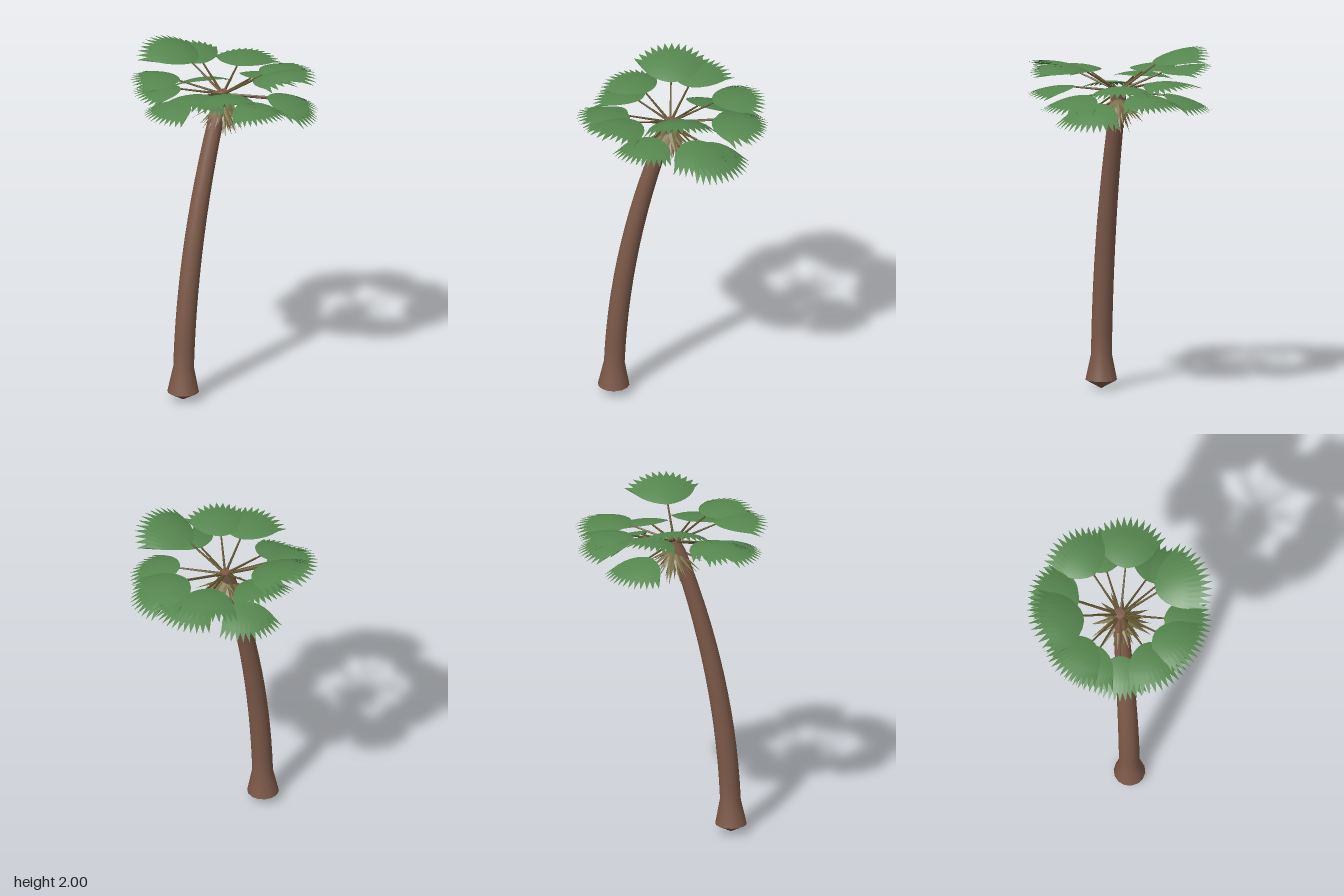
import * as THREE from 'three';
import { toCreasedNormals } from 'three/addons/utils/BufferGeometryUtils.js';

const mat = (name, color, extra = {}) => {
  const m = new THREE.MeshStandardMaterial({ color, ...extra });
  m.name = name;
  return m;
};
const bark = mat('bark brown', 0x7d5a49);
const green = mat('leaf green', 0x56874f, { side: THREE.DoubleSide });
const stalkOlive = mat('stalk olive', 0x61542f);
const dry = mat('dry leaf olive', 0x736840);

const UP = new THREE.Vector3(0, 1, 0);
const HUB = new THREE.Vector3(-0.035, 1.785, 0.005);

// Rotation whose z axis follows dir, with x kept level
function aim(object, dir) {
  const side = UP.clone().cross(dir).normalize();
  const up = dir.clone().cross(side);
  object.quaternion.setFromRotationMatrix(new THREE.Matrix4().makeBasis(side, up, dir));
}

// Leaning trunk: a lathe with a flared foot, sheared along a parabola
function makeTrunk() {
  const profile = [[0, 0], [0.091, 0.05], [0.06, 0.2]];
  for (let i = 1; i <= 14; i++) {
    const t = i / 14;
    profile.push([0.06 - 0.016 * t * t, 0.2 + 1.53 * t]);
  }
  profile.push([0.031, 1.8], [0, 1.805]);
  const geo = new THREE.LatheGeometry(profile.map(p => new THREE.Vector2(...p)), 14);
  const pos = geo.attributes.position;
  for (let i = 0; i < pos.count; i++) {
    const t = (pos.getY(i) / 1.8) ** 2;
    pos.setX(i, pos.getX(i) - 0.351 + 0.318 * t);
    pos.setZ(i, pos.getZ(i) + 0.09 * (1 - t));
  }
  const mesh = new THREE.Mesh(toCreasedNormals(geo, 0.7), bark);
  mesh.name = 'trunk';
  return mesh;
}

// Domed fan leaf growing along +z from the origin, with a toothed outer rim
function makeFan(length) {
  const teeth = 13, cols = teeth * 2, rows = 6;
  const pos = [], index = [];
  for (let r = 0; r <= rows; r++) {
    const f = r / rows;
    for (let c = 0; c <= cols; c++) {
      const u = (c / cols) * 2 - 1;
      const tip = c % 2 === 1;
      // rows end at the valleys; the last row lifts every other point into a tooth
      const reach = length * (1 - 0.05 * u * u) * (r === rows && tip ? 1 : 0.8 * f);
      const angle = u * THREE.MathUtils.degToRad(84 - 35 * f);
      const x = reach * Math.sin(angle), z = reach * Math.cos(angle);
      pos.push(x, -1.25 * x * x - z * z, z);
    }
  }
  const w = cols + 1;
  for (let r = 0; r < rows; r++) {
    for (let c = 0; c < cols; c++) {
      const a = r * w + c, b = a + 1, d = a + w, e = d + 1;
      if (r > 0) index.push(a, d, b);
      index.push(b, d, e);
    }
  }
  const geo = new THREE.BufferGeometry();
  geo.setAttribute('position', new THREE.Float32BufferAttribute(pos, 3));
  geo.setIndex(index);
  geo.computeVertexNormals();
  return geo;
}

// One frond: a thin stalk from the hub to its end, and the fan continuing its direction
function makeFrond([x, y, z, length]) {
  const frond = new THREE.Group();
  frond.name = 'frond';
  const dir = new THREE.Vector3(x, y, z).sub(HUB);
  const reach = dir.length();
  aim(frond, dir.normalize());
  frond.position.copy(HUB);

  const stalkGeo = new THREE.CylinderGeometry(0.005, 0.008, reach + 0.01, 6);
  stalkGeo.rotateX(Math.PI / 2).translate(0, -0.004, reach / 2);
  const stalk = new THREE.Mesh(stalkGeo, stalkOlive);
  stalk.name = 'leafStalk';
  const fan = new THREE.Mesh(makeFan(length), green);
  fan.name = 'fanLeaf';
  fan.position.z = reach;
  frond.add(stalk, fan);
  return frond;
}

// Skirt of broad, flat dry blades hanging below the crown in three tiers
function makeSkirt() {
  const skirt = new THREE.Group();
  skirt.name = 'drySkirt';
  let seed = 7;
  const rand = () => (seed = (seed * 16807) % 2147483647) / 2147483647;
  const blade = new THREE.ConeGeometry(0.026, 1, 4).toNonIndexed();
  blade.translate(0, 0.5, 0).rotateX(Math.PI / 2).scale(1, 0.3, 1);
  blade.computeVertexNormals();
  const count = 42;
  for (let i = 0; i < count; i++) {
    const a = (i / count) * Math.PI * 2 + rand() * 0.1;
    const drop = THREE.MathUtils.degToRad([26, 44, 62][i % 3] + rand() * 12);
    const dir = new THREE.Vector3(
      Math.cos(a) * Math.cos(drop), -Math.sin(drop), Math.sin(a) * Math.cos(drop));
    const mesh = new THREE.Mesh(blade, dry);
    mesh.name = 'dryBlade';
    aim(mesh, dir);
    mesh.scale.z = 0.17 + rand() * 0.05;
    mesh.position.set(-0.036, 1.74, 0.006);
    skirt.add(mesh);
  }
  return skirt;
}

export function createModel() {
  const palm = new THREE.Group();
  palm.name = 'fanPalm';
  palm.add(makeTrunk(), makeSkirt());

  // Stalk end x, y, z and leaf length
  const fronds = [
    [-0.11, 1.92, -0.20, 0.32], [-0.02, 1.89, -0.235, 0.29], [0.03, 1.77, -0.25, 0.28],
    [0.16, 1.86, -0.167, 0.30], [0.207, 1.80, -0.098, 0.29], [0.225, 1.85, 0.005, 0.31],
    [0.20, 1.75, 0.124, 0.30], [0.155, 1.79, 0.187, 0.29], [0.07, 1.92, 0.20, 0.32],
    [-0.04, 1.81, 0.256, 0.27], [-0.147, 1.87, 0.216, 0.29], [-0.23, 1.86, 0.147, 0.30],
    [-0.288, 1.79, 0.03, 0.26], [-0.26, 1.83, -0.087, 0.27], [-0.236, 1.86, -0.135, 0.28],
  ];
  for (const f of fronds) palm.add(makeFrond(f));
  return palm;
}
